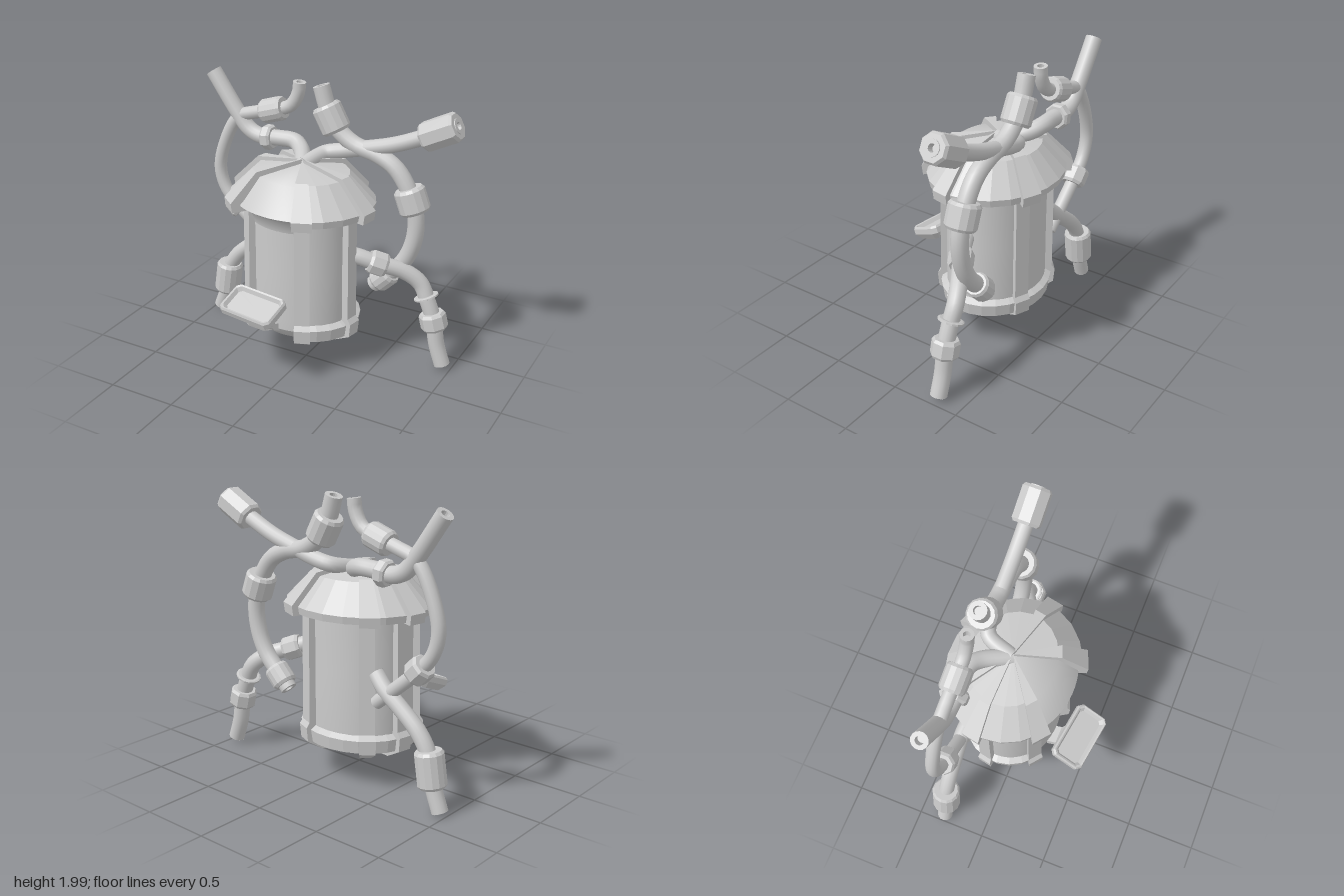
import * as THREE from 'three';
import { toCreasedNormals } from 'three/addons/utils/BufferGeometryUtils.js';

const smooth = new THREE.MeshStandardMaterial({ color: 0xcccccc, side: THREE.DoubleSide });
const faceted = new THREE.MeshStandardMaterial({ color: 0xcccccc, side: THREE.DoubleSide, flatShading: true });
const rad = THREE.MathUtils.degToRad;
const v2 = (list) => list.map(([x, y]) => new THREE.Vector2(x, y));

function add(parent, name, geometry, material = faceted) {
  const mesh = new THREE.Mesh(geometry, material);
  mesh.name = name;
  parent.add(mesh);
  return mesh;
}

// Place a mesh on a point with its y axis along a direction
function align(mesh, point, dir) {
  mesh.position.copy(point);
  mesh.quaternion.setFromUnitVectors(new THREE.Vector3(0, 1, 0), dir);
}

// Wedge rib: a radial profile whose width grows with its distance from the axis
function addRib(parent, name, profile, angle) {
  const geo = new THREE.ExtrudeGeometry(new THREE.Shape(v2(profile)), { depth: 1, bevelEnabled: false });
  const p = geo.attributes.position;
  for (let i = 0; i < p.count; i++) p.setZ(i, (p.getZ(i) - 0.5) * 0.255 * p.getX(i));
  add(parent, name, geo).rotation.y = -rad(angle);
}

function buildTank() {
  const tank = new THREE.Group();
  tank.name = 'tank';
  tank.position.set(-0.08, 0, -0.09);
  tank.scale.z = 0.86;

  // Vessel with rounded bottom
  const wall = [[0, 0.21], [0.2, 0.225], [0.33, 0.27], [0.385, 0.34], [0.39, 0.42], [0.385, 0.8], [0.385, 1.24]];
  add(tank, 'vessel', toCreasedNormals(new THREE.LatheGeometry(v2(wall), 48), 0.6), smooth);

  // Rim and roof all round except the front bay
  const start = rad(25), sweep = rad(292);
  const rim = [[0.37, 0.27], [0.42, 0.28], [0.435, 0.37], [0.385, 0.4]];
  add(tank, 'bottomRim', new THREE.LatheGeometry(v2(rim), 20, start, sweep));
  const roof = [[0.385, 1.2], [0.52, 1.2], [0.53, 1.25], [0.34, 1.44], [0, 1.49]];
  add(tank, 'roof', new THREE.LatheGeometry(v2(roof), 18, start, sweep));

  // Softer front bay running from the roof into the wall
  const bay = [[0.385, 1.1], [0.41, 1.18], [0.5, 1.235], [0.34, 1.43], [0, 1.485]];
  add(tank, 'frontBay', toCreasedNormals(new THREE.LatheGeometry(v2(bay), 10, rad(-43), rad(68)), 0.9), smooth);

  // Six ribs over the wall, roof and bottom
  const wallRib = [[0.37, 1.22], [0.37, 0.36], [0.31, 0.27], [0.0, 0.22], [0.0, 0.19], [0.33, 0.215],
    [0.455, 0.285], [0.465, 0.385], [0.44, 0.42], [0.43, 1.22]];
  const roofRib = [[0.38, 1.24], [0.4, 1.195], [0.56, 1.19], [0.57, 1.26], [0.365, 1.465], [0, 1.515], [0, 1.47], [0.3, 1.42], [0.5, 1.24]];
  for (const angle of [9.5, 65, 133, 189.5, 227, 296]) {
    addRib(tank, 'wallRib', wallRib, angle);
    addRib(tank, 'roofRib', roofRib, angle);
  }
  return tank;
}

// Tray on a bent bracket at the front
function buildTray() {
  const group = new THREE.Group();
  group.name = 'trayAssembly';
  const profile = [[0, -0.06], [0.72, -0.06], [1, -0.01], [1, 0.03], [0.93, 0.045], [0.84, 0.04], [0.72, 0.012], [0, 0.012]];
  const geo = new THREE.LatheGeometry(v2(profile), 8, Math.PI / 8);
  const p = geo.attributes.position;
  for (let i = 0; i < p.count; i++) {
    const x = p.getX(i), z = p.getZ(i), r = Math.hypot(x, z);
    if (r < 0.01) continue;
    const hx = 0.218 - (1 - r) * 0.13, hz = 0.125 - (1 - r) * 0.13, c = 0.03 * r;
    const alongX = Math.abs(x) > Math.abs(z);
    p.setX(i, Math.sign(x) * (hx - (alongX ? 0 : c)));
    p.setZ(i, Math.sign(z) * (hz - (alongX ? c : 0)));
  }
  const tray = add(group, 'tray', geo);
  tray.position.set(-0.17, 0.585, 0.44);
  tray.rotation.set(rad(22), rad(-8), 0, 'YXZ');

  const arm = [[0.42, 0.55], [0.36, 0.59], [0.345, 0.54], [0.285, 0.4], [0.22, 0.37], [0.22, 0.31], [0.3, 0.355], [0.325, 0.39], [0.385, 0.53]];
  const bracket = add(group, 'trayBracket',
    new THREE.ExtrudeGeometry(new THREE.Shape(v2(arm)), { depth: 0.13, bevelEnabled: false }));
  bracket.rotation.y = -Math.PI / 2;
  bracket.position.x = -0.09;
  return group;
}

// Pipe along points [x, y, z], with hollow ends and fittings [x, y, radius, length, sides]
function buildPipe(name, r, points, fittings) {
  const group = new THREE.Group();
  group.name = name;
  const curve = new THREE.CatmullRomCurve3(points.map(([x, y, z = -0.32]) => new THREE.Vector3(x, y, z)), false, 'centripetal');
  add(group, 'pipe', new THREE.TubeGeometry(curve, 48, r, 14), smooth);
  for (const end of [0, 1]) {
    const cap = [[0, -0.05], [r * 0.5, -0.05], [r * 0.5, 0], [r, 0]];
    align(add(group, 'pipeMouth', new THREE.LatheGeometry(v2(cap), 14)),
      curve.getPointAt(end), curve.getTangentAt(end).multiplyScalar(end ? 1 : -1));
  }
  for (const [x, y, radius, length, sides] of fittings) {
    let best = 0, bestD = Infinity;
    for (let u = 0; u <= 1; u += 0.005) {
      const q = curve.getPointAt(u), d = Math.hypot(q.x - x, q.y - y);
      if (d < bestD) { bestD = d; best = u; }
    }
    const h = length / 2, b = Math.min(0.02, h * 0.4), inner = r * 0.6;
    const profile = [[inner, -h], [radius * 0.86, -h], [radius, -h + b], [radius, h - b], [radius * 0.86, h], [inner, h]];
    align(add(group, sides > 8 ? 'coupling' : 'nut', new THREE.LatheGeometry(v2(profile), sides, Math.PI / sides)),
      curve.getPointAt(best), curve.getTangentAt(best));
  }
  return group;
}

export function createModel() {
  const model = new THREE.Group();
  model.name = 'pipedTank';
  model.add(buildTank(), buildTray());

  model.add(buildPipe('upperRightPipe', 0.058,
    [[-0.94, 1.96], [-0.75, 1.69], [-0.65, 1.57], [-0.55, 1.53], [-0.4, 1.54], [-0.27, 1.54], [-0.19, 1.51, -0.27], [-0.08, 1.46, -0.1]],
    [[-0.48, 1.535, 0.092, 0.08, 8]]));

  model.add(buildPipe('outerRightPipe', 0.047,
    [[-0.23, 1.98], [-0.24, 1.9], [-0.3, 1.8], [-0.44, 1.745], [-0.6, 1.7], [-0.73, 1.65], [-0.84, 1.48], [-0.91, 1.23],
      [-0.87, 1.07], [-0.77, 0.95], [-0.6, 0.8], [-0.42, 0.65]],
    [[-0.44, 1.745, 0.088, 0.18, 14], [-0.77, 0.95, 0.09, 0.13, 8]]));

  model.add(buildPipe('lowerRightPipe', 0.056,
    [[-0.95, 0.03], [-0.89, 0.2], [-0.85, 0.4], [-0.77, 0.53], [-0.62, 0.66], [-0.5, 0.75], [-0.4, 0.84, -0.3]],
    [[-0.87, 0.31, 0.1, 0.25, 14]]));

  model.add(buildPipe('upperLeftPipe', 0.054,
    [[0.95, 1.86], [0.7, 1.735], [0.5, 1.65], [0.3, 1.59], [0.12, 1.54], [-0.01, 1.51, -0.29], [-0.08, 1.47, -0.1]],
    [[0.83, 1.8, 0.105, 0.26, 8]]));

  model.add(buildPipe('outerLeftPipe', 0.06,
    [[-0.06, 1.98], [0, 1.8], [0.07, 1.69], [0.2, 1.6], [0.38, 1.555], [0.52, 1.48], [0.63, 1.32], [0.685, 1.13],
      [0.67, 0.95], [0.6, 0.79], [0.47, 0.65], [0.38, 0.56]],
    [[0.02, 1.76, 0.105, 0.2, 14], [0.65, 1.27, 0.11, 0.18, 14], [0.46, 0.64, 0.088, 0.15, 14]]));

  model.add(buildPipe('lowerLeftPipe', 0.058,
    [[0.25, 0.89, -0.08], [0.36, 0.86, -0.12], [0.48, 0.81, -0.18], [0.63, 0.75, -0.27], [0.74, 0.66, -0.32], [0.8, 0.54], [0.855, 0.39], [0.89, 0.2], [0.94, 0.05]],
    [[0.47, 0.81, 0.088, 0.13, 8], [0.79, 0.56, 0.09, 0.02, 14], [0.855, 0.39, 0.098, 0.13, 8]]));

  return model;
}
